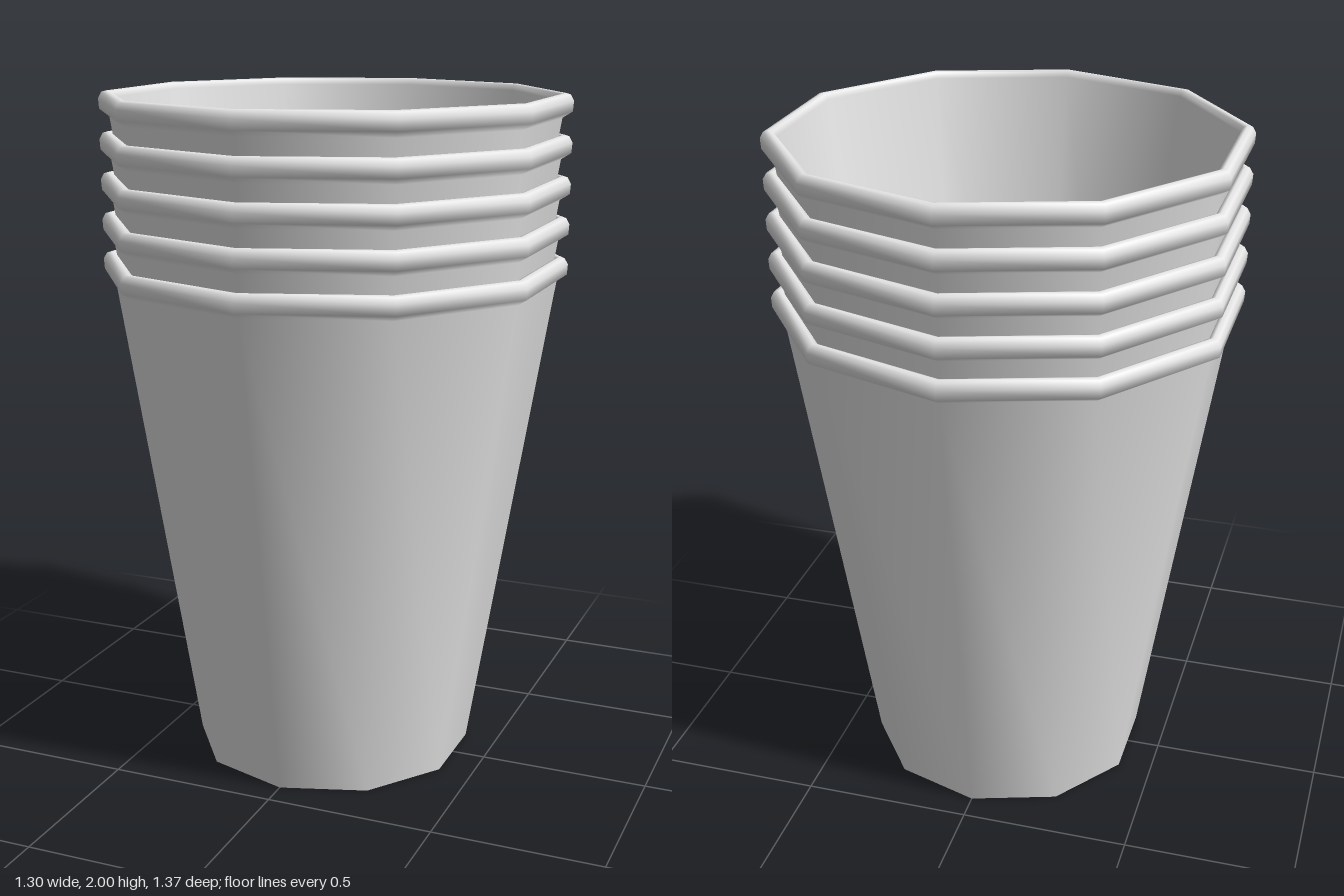
import * as THREE from 'three';

const SIDES = 10;
const CUPS = 5;
const PITCH = 0.1175;

// Each profile is a list of [radius, height]; separate lathes keep the foot edges sharp
const PROFILES = {
  // outer wall, rolled rim, inner wall and rounded floor in one smooth surface
  cupShell: [
    [0.42, 0], [0.655, 1.46],
    [0.684, 1.478], [0.686, 1.508], [0.676, 1.526], [0.662, 1.53], [0.65, 1.526], [0.645, 1.51],
    [0.424, 0.16], [0.36, 0.13], [0.2, 0.12], [0, 0.12],
  ],
  recessedUnderside: [[0, 0.115], [0.2, 0.115], [0.36, 0.11], [0.415, 0.07], [0.41, 0]],
  footEdge: [[0.41, 0], [0.42, 0]],
};

export function createModel() {
  const plastic = new THREE.MeshStandardMaterial({ color: 0xe6e6e6 });
  plastic.name = 'light grey plastic';

  const geometries = Object.entries(PROFILES).map(([name, points]) => [
    name,
    new THREE.LatheGeometry(points.map(([r, y]) => new THREE.Vector2(r, y)), SIDES),
  ]);

  // Nested stack of identical cups
  const stack = new THREE.Group();
  stack.name = 'cupStack';
  for (let i = 0; i < CUPS; i++) {
    const cup = new THREE.Group();
    cup.name = `cup${i + 1}`;
    cup.position.y = i * PITCH;
    for (const [name, geometry] of geometries) {
      const mesh = new THREE.Mesh(geometry, plastic);
      mesh.name = name;
      cup.add(mesh);
    }
    stack.add(cup);
  }
  return stack;
}
